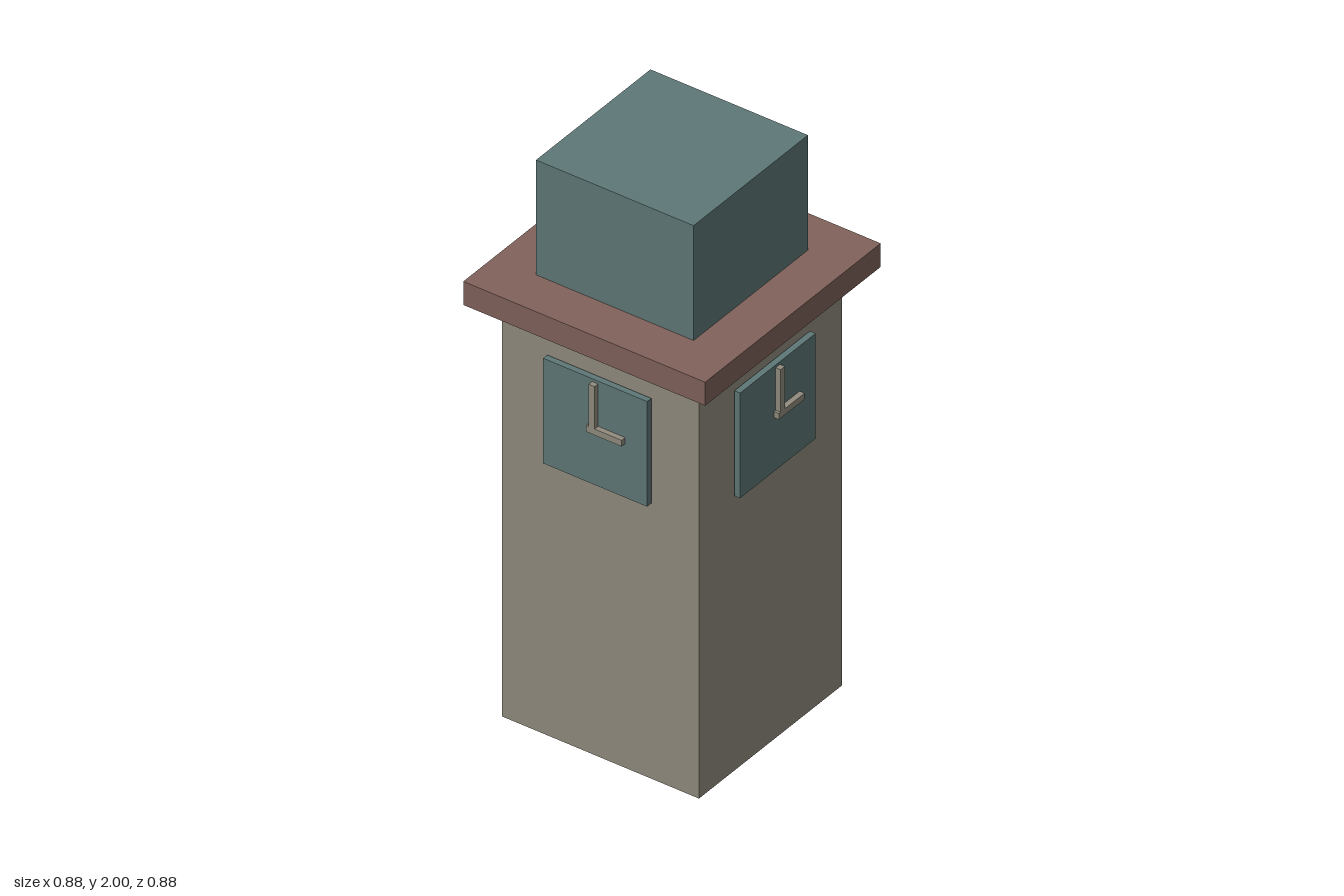
import * as THREE from 'three';

const stone = new THREE.MeshStandardMaterial({ color: 0x918c7e });
const brick = new THREE.MeshStandardMaterial({ color: 0x80625a });
const slate = new THREE.MeshStandardMaterial({ color: 0x5e7877 });

// Box given by its minimum and maximum corners
function box(name, material, min, max) {
  const size = max.map((v, i) => v - min[i]);
  const mesh = new THREE.Mesh(new THREE.BoxGeometry(...size), material);
  mesh.position.set(...max.map((v, i) => (v + min[i]) / 2));
  mesh.name = name;
  return mesh;
}

// Clock facing +z; dir is the side the hour hand points to (1 = viewer's right)
function clock(name, dir) {
  const group = new THREE.Group();
  group.name = name;
  const hourHand = box('hourHand', stone, [-0.02, 1.195, 0.385], [0.11, 1.217, 0.405]);
  hourHand.position.x *= dir;
  group.add(
    box('clockFace', slate, [-0.19, 1, 0.366], [0.19, 1.38, 0.387]),
    box('minuteHand', stone, [-0.011, 1.197, 0.385], [0.011, 1.37, 0.405]),
    hourHand
  );
  return group;
}

export function createModel() {
  const tower = new THREE.Group();
  tower.name = 'clockTower';

  // Shaft, overhanging slab and top block
  tower.add(
    box('shaft', stone, [-0.36, 0, -0.36], [0.36, 1.48, 0.36]),
    box('roofSlab', brick, [-0.442, 1.5, -0.442], [0.442, 1.585, 0.442]),
    box('topBlock', slate, [-0.288, 1.585, -0.288], [0.288, 2, 0.288])
  );

  // One clock per side; the hands on opposite sides point the same way
  ['frontClock', 'leftClock', 'backClock', 'rightClock'].forEach((name, i) => {
    const side = clock(name, i < 2 ? 1 : -1);
    side.rotation.y = (i * Math.PI) / 2;
    tower.add(side);
  });

  return tower;
}
